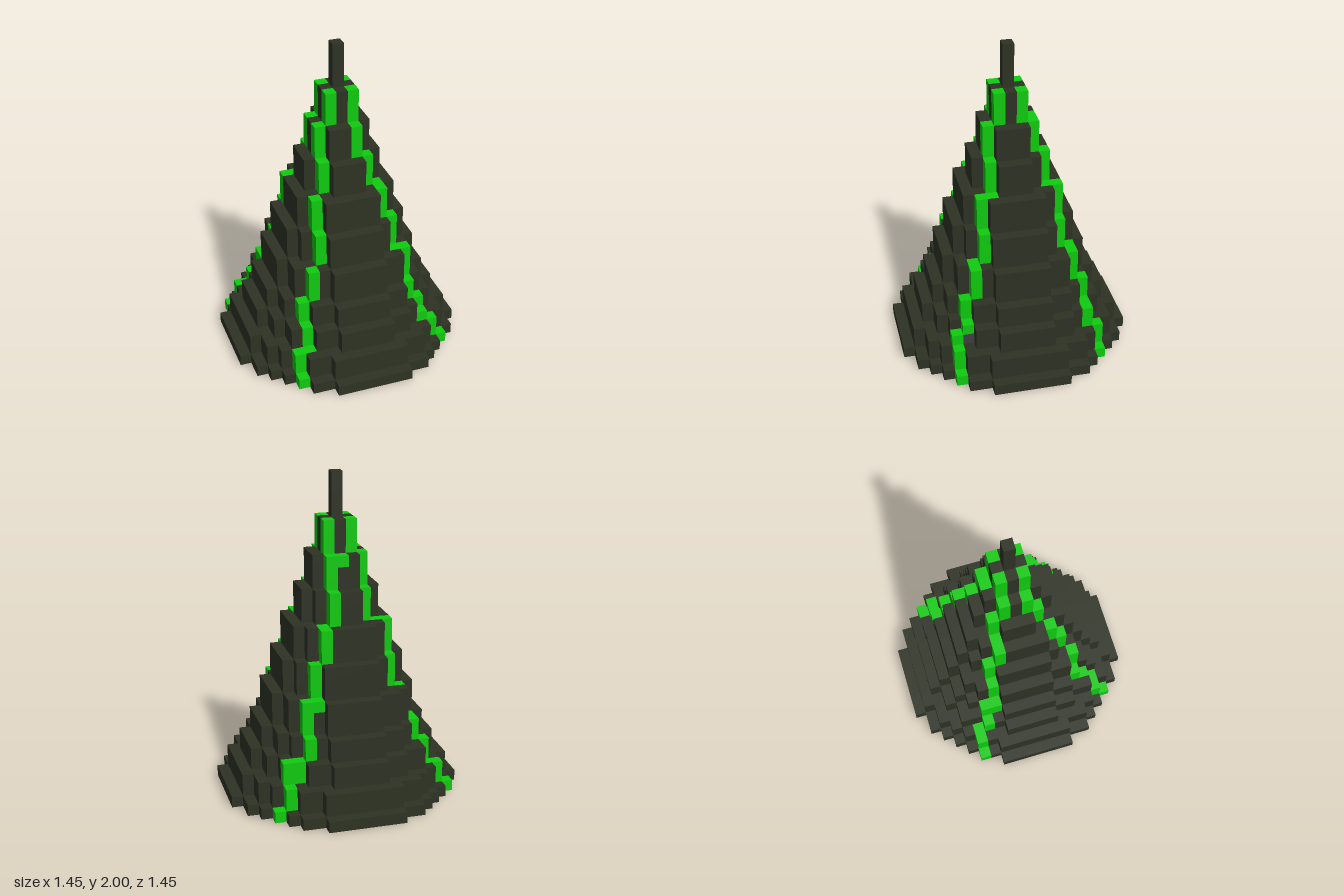
import * as THREE from 'three';

const U = 2 / 29; // edge of one block
const MATS = {
  hull: new THREE.MeshStandardMaterial({ color: 0x2e3324 }),
  vein: new THREE.MeshStandardMaterial({ color: 0x0fcc0f }),
  core: new THREE.MeshStandardMaterial({ color: 0x403e44 }),
};
MATS.hull.name = 'darkOlive';
MATS.vein.name = 'brightGreen';
MATS.core.name = 'darkGrey';

// Tiers from the ground up: disc radius and height in blocks
const TIERS = [[10, 1], [9, 2], [8, 2], [7, 2], [6, 3], [5, 3], [4, 3], [3, 3], [2, 3], [1, 3], [0, 4]];

// Glowing veins: for each row z, the first and last x of the run
const VEINS = [
  [-7, 6, 7], [-6, 4, 6], [-5, 3, 4], [-4, 2, 3], [-3, 1, 2], [-2, 0, 1], [-1, 1, 1],
  [-5, -9, -7], [-4, -7, -6], [-3, -6, -4], [-2, -4, -2], [-1, -2, -1],
  [1, -2, -1], [2, -2, -2], [3, -3, -3], [4, -3, -3], [5, -5, -4], [6, -5, -5], [7, -6, -5], [8, -6, -6],
  [1, 1, 1], [2, 1, 3], [3, 3, 4], [4, 4, 5], [5, 5, 6], [6, 6, 8],
];
const TIPS = [[7, -7], [-9, -5], [-6, 8], [8, 6]];
const TOP_ONLY = ['0,-2', '3,-5']; // vein blocks that only cap their tier

const key = (x, z) => `${x},${z}`;
const veinCells = new Set();
for (const [z, a, b] of VEINS) for (let x = a; x <= b; x++) veinCells.add(key(x, z));

// Which tier each level of blocks belongs to
const levels = [];
TIERS.forEach(([r, h]) => {
  for (let i = 0; i < h; i++) levels.push({ r, top: i === h - 1 });
});
const ringOf = (x, z) => Math.ceil(Math.hypot(x, z) - 0.5);

// Kind of block at a grid position, or null where empty
function blockAt(x, y, z) {
  const level = levels[y];
  if (!level || ringOf(x, z) > level.r) return null;
  if (x === 6 && z === 6 && y === 4) return null; // chipped corner
  if (x === 6 && z === 5 && y === 3) return 'core';
  const k = key(x, z);
  if (veinCells.has(k) && ringOf(x, z) === level.r) {
    return TOP_ONLY.includes(k) && !level.top ? 'hull' : 'vein';
  }
  // Grey core showing on the underside
  if (y === 0 && ringOf(x, z) < 10) {
    const nearTip = TIPS.some(([a, b]) => Math.abs(a - x) + Math.abs(b - z) <= 1);
    if (nearTip || Math.max(Math.abs(x), Math.abs(z)) <= 3) return 'core';
  }
  return 'hull';
}

// Append the square face of a block that points along axis and sign
function addFace(buf, p, axis, sign) {
  const n = [0, 0, 0];
  n[axis] = sign;
  const u = (axis + 1) % 3, v = (axis + 2) % 3;
  const corners = [[-1, -1], [1, -1], [1, 1], [-1, 1]].map(([a, b]) => {
    const c = [p[0], p[1] + 0.5, p[2]];
    c[axis] += sign / 2;
    c[u] += (a * sign) / 2;
    c[v] += b / 2;
    return c.map((t) => t * U);
  });
  for (const i of [0, 1, 2, 0, 2, 3]) {
    buf.pos.push(...corners[i]);
    buf.nor.push(...n);
  }
}

// One tier of blocks, with only its exposed faces
function makeTier(index, r, y0, h) {
  const tier = new THREE.Group();
  tier.name = `tier${index + 1}`;
  const bufs = {};
  for (let y = y0; y < y0 + h; y++)
    for (let x = -r; x <= r; x++)
      for (let z = -r; z <= r; z++) {
        const kind = blockAt(x, y, z);
        if (!kind) continue;
        const buf = (bufs[kind] ??= { pos: [], nor: [] });
        for (let axis = 0; axis < 3; axis++)
          for (const sign of [-1, 1]) {
            const q = [x, y, z];
            q[axis] += sign;
            if (!blockAt(...q)) addFace(buf, [x, y, z], axis, sign);
          }
      }
  for (const [kind, { pos, nor }] of Object.entries(bufs)) {
    if (!pos.length) continue;
    const geo = new THREE.BufferGeometry();
    geo.setAttribute('position', new THREE.Float32BufferAttribute(pos, 3));
    geo.setAttribute('normal', new THREE.Float32BufferAttribute(nor, 3));
    const mesh = new THREE.Mesh(geo, MATS[kind]);
    mesh.name = kind;
    tier.add(mesh);
  }
  return tier;
}

export function createModel() {
  const model = new THREE.Group();
  model.name = 'steppedSpire';
  let y = 0;
  TIERS.forEach(([r, h], i) => {
    model.add(makeTier(i, r, y, h));
    y += h;
  });
  return model;
}
